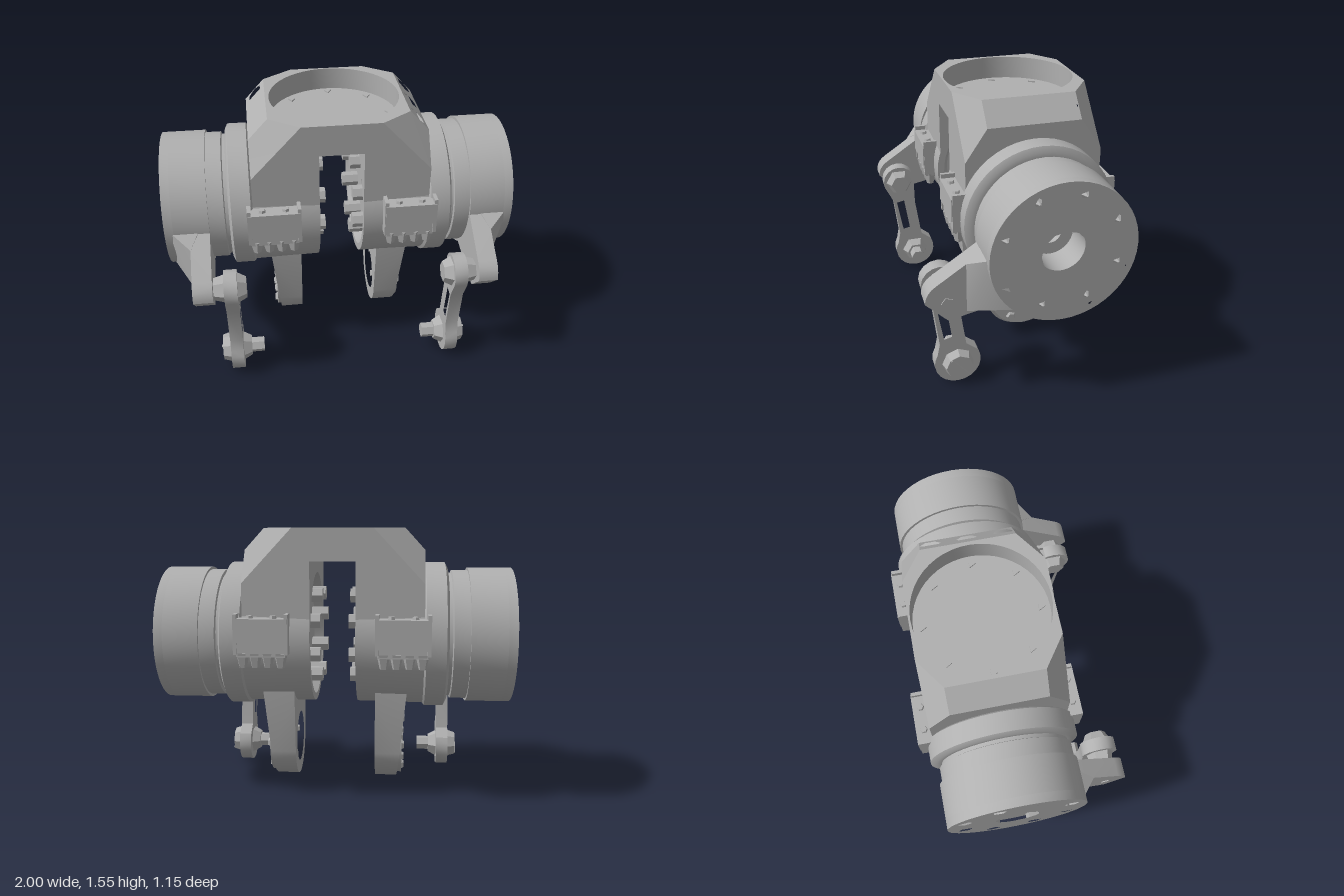
import * as THREE from 'three';
import { mergeGeometries, toCreasedNormals } from 'three/addons/utils/BufferGeometryUtils.js';
import { ConvexGeometry } from 'three/addons/geometries/ConvexGeometry.js';

const CY = 0.935, CZ = -0.11; // main drum axis
const TAU = Math.PI * 2, DEG = Math.PI / 180;

// Arc of [z, y] points around a centre
function arc(z, y, r, a0 = 0, a1 = 360, n = 24) {
  const full = Math.abs(a1 - a0) === 360, out = [];
  for (let i = 0; i < n + (full ? 0 : 1); i++) {
    const a = (a0 + (a1 - a0) * i / n) * DEG;
    out.push([z + r * Math.cos(a), y + r * Math.sin(a)]);
  }
  return out;
}

// Side profile of [z, y] points, extruded from x0 to x1
function slab(pts, holes, x0, x1) {
  const v = p => p.map(([z, y]) => new THREE.Vector2(-z, y));
  const s = new THREE.Shape(v(pts));
  s.holes = holes.map(h => new THREE.Path(v(h)));
  return new THREE.ExtrudeGeometry(s, { depth: x1 - x0, bevelEnabled: false })
    .rotateY(Math.PI / 2).translate(x0, 0, 0);
}

// Lathe of [radius, x] points around the main axis
function turned(pts, sides = 48) {
  return new THREE.LatheGeometry(pts.map(p => new THREE.Vector2(...p)), sides)
    .rotateZ(-Math.PI / 2).translate(0, CY, CZ);
}

// Prism or cone along x; r0 at x0, r1 at x1
function pin(x0, x1, z, y, r0, r1 = r0, sides = 6) {
  return new THREE.CylinderGeometry(r1, r0, x1 - x0, sides)
    .rotateZ(-Math.PI / 2).translate((x0 + x1) / 2, y, z);
}

const hull = pts => new ConvexGeometry(pts.map(p => new THREE.Vector3(...p)));
const box = (x, y, z, w, h, d) => new THREE.BoxGeometry(w, h, d).translate(x, y, z);

// Flat convex polygon facing the hinted direction
function face(pts, hint) {
  const v = pts.map(p => new THREE.Vector3(...p));
  const n = v[1].clone().sub(v[0]).cross(v[2].clone().sub(v[0]));
  if (n.dot(new THREE.Vector3(...hint)) < 0) v.reverse();
  const tri = [];
  for (let i = 1; i < v.length - 1; i++) tri.push(v[0], v[i], v[i + 1]);
  return new THREE.BufferGeometry().setFromPoints(tri);
}

// Merge pieces with creased normals
function merge(list) {
  return mergeGeometries(list.map(g => {
    const n = g.index ? g.toNonIndexed() : g.clone();
    n.deleteAttribute('uv');
    n.deleteAttribute('normal');
    n.clearGroups();
    n.computeVertexNormals();
    return toCreasedNormals(n, 0.5);
  }));
}

// Copy mirrored in x with the corner order restored
function mirrored(geo) {
  const g = geo.clone().scale(-1, 1, 1);
  for (const at of Object.values(g.attributes)) {
    const a = at.array;
    for (let i = 0; i < a.length; i += 9)
      for (let k = 0; k < 3; k++) [a[i + 3 + k], a[i + 6 + k]] = [a[i + 6 + k], a[i + 3 + k]];
  }
  return g;
}

export function createModel() {
  const model = new THREE.Group();
  const grey = new THREE.MeshStandardMaterial({ color: 0xb0b0b0 });
  grey.name = 'metal grey';
  const add = (name, geo) => {
    const m = new THREE.Mesh(geo, grey);
    m.name = name;
    model.add(m);
  };
  const pair = (name, list) => {
    const g = merge(list);
    add(name + 'Left', g);
    add(name + 'Right', mirrored(g));
  };

  // Central block: top with round recess, chamfered corners, slot below
  const Y0 = CY, YT = 1.55, YC = 1.43, YK = 1.25, YS = 1.37, YF = 1.42, Z = 0.38, ZK = 0.26;
  const top = new THREE.Shape([[0.22, Z], [0.39, ZK], [0.39, -ZK], [0.22, -Z], [-0.22, -Z], [-0.39, -ZK], [-0.39, ZK], [-0.22, Z]]
    .map(p => new THREE.Vector2(...p)));
  top.holes.push(new THREE.Path().absarc(0, 0, 0.37, 0, TAU, true));
  const wall = new THREE.CylinderGeometry(0.37, 0.37, YT - YF, 48, 1, true).translate(0, (YT + YF) / 2, CZ);
  const wi = wall.index.array;
  for (let i = 0; i < wi.length; i += 3) [wi[i], wi[i + 1]] = [wi[i + 1], wi[i]];
  const block = [
    new THREE.ShapeGeometry(top, 24).rotateX(-Math.PI / 2).translate(0, YT, CZ),
    wall,
    new THREE.CircleGeometry(0.37, 48).rotateX(-Math.PI / 2).translate(0, YF, CZ),
    face([[-0.125, YS, CZ - Z], [0.125, YS, CZ - Z], [0.125, YS, CZ + Z], [-0.125, YS, CZ + Z]], [0, -1, 0]),
  ];
  for (const s of [1, -1]) {
    const z = CZ + s * Z, zk = CZ + s * ZK;
    block.push(face([[-0.125, YS, z], [0.125, YS, z], [0.125, YT, z], [-0.125, YT, z]], [0, 0, s]));
    for (const m of [1, -1]) {
      block.push(face([[m * 0.125, YT, z], [m * 0.22, YT, z], [m * 0.5, YK, z], [m * 0.5, Y0, z], [m * 0.125, Y0, z]], [0, 0, s]));
      block.push(face([[m * 0.22, YT, z], [m * 0.39, YT, zk], [m * 0.5, YC, zk], [m * 0.5, YK, z]], [m, 1, s]));
    }
  }
  add('centralBlock', merge(block));

  // Block sides, slot walls and undersides
  pair('blockSide', [
    face([[0.5, YC, CZ + ZK], [0.5, YC, CZ - ZK], [0.5, YK, CZ - Z], [0.5, Y0, CZ - Z], [0.5, Y0, CZ + Z], [0.5, YK, CZ + Z]], [1, 0, 0]),
    slab([[CZ + Z, YS], [CZ - Z, YS], [CZ - Z, Y0], ...arc(CZ, CY, 0.36, 180, 0), [CZ + Z, Y0]], [], 0.125, 0.135),
  ]);

  // Sloping shoulder plates with three hex sockets each
  const len = Math.hypot(0.11, 0.12), tilt = Math.atan2(0.11, 0.12);
  const sockets = [-0.2, 0, 0.2].map(z => arc(z, 0, 0.056, 0, 360, 6));
  const shoulder = [
    slab([[-ZK, -len / 2], [ZK, -len / 2], [ZK, len / 2], [-ZK, len / 2]], sockets, -0.025, 0),
    face([[-0.024, -len / 2, -ZK], [-0.024, len / 2, -ZK], [-0.024, len / 2, ZK], [-0.024, -len / 2, ZK]], [1, 0, 0]),
  ].map(g => g.rotateZ(tilt).translate(0.445, 1.49, CZ));
  pair('shoulderPlate', shoulder);

  // Small markers on the recess floor
  const marks = [];
  for (let i = 0; i < 8; i++)
    marks.push(new THREE.CylinderGeometry(0.025, 0.025, 0.008, 3)
      .translate(0.32 * Math.sin(i * TAU / 8), YF + 0.004, CZ + 0.32 * Math.cos(i * TAU / 8)));
  add('recessMarkers', merge(marks));

  // Inner housing with dished inner face, collar and neck
  pair('housing', [turned([
    [0.06, 0.18], [0.33, 0.18], [0.36, 0.125], [0.4, 0.125], [0.405, 0.5], [0.42, 0.51], [0.42, 0.62], [0.39, 0.635],
    [0.36, 0.635], [0.36, 0.655], [0.375, 0.66], [0.375, 0.75], [0.06, 0.75], [0.06, 0.18]])]);
  pair('innerScrews', arc(CZ, CY, 0.25, 22, 382, 8).map(([z, y]) => pin(0.08, 0.19, z, y, 0.045)));

  // Outer drum with end plate and square screw pockets
  pair('drum', [turned([[0.06, 0.75], [0.39, 0.75], [0.39, 0.95], [0.125, 0.95], [0.125, 0.78], [0.06, 0.78], [0.06, 0.75]])]);
  const screws = arc(CZ, CY, 0.313, 19, 379, 8);
  pair('drumEndPlate', [slab(arc(CZ, CY, 0.39, 0, 360, 48),
    [arc(CZ, CY, 0.125, 0, 360, 12), ...screws.map(([z, y], i) => arc(z, y, 0.045, 30 + i * 45, 390 + i * 45, 4))], 0.95, 1)]);
  pair('drumScrews', screws.map(([z, y]) => pin(0.945, 0.995, z, y, 0.03, 0.004, 5)));

  // Steering lever on the drum, with a ramp up to the end face
  const lever = [...arc(0.46, 0.665, 0.115, 30, 270, 16), ...arc(0.46, 0.665, 0.115, 0, 30, 4),
    [0.27, 0.93], [0.12, 0.62]];
  pair('lever', [
    hull(lever.flatMap(([z, y]) => [[0.75, y, z], [0.86, y, z]])),
    hull([[0.99, 0.95, 0.25], [0.99, 0.64, 0.12], [0.86, 0.87, 0.36], [0.86, 0.59, 0.36], [0.8, 0.95, 0.25], [0.8, 0.64, 0.12]]),
    pin(0.855, 0.866, 0.46, 0.655, 0.035, 0.035, 5),
  ]);

  // Hanging link with a slot
  pair('link', [slab([
    ...arc(0.46, 0.665, 0.105, -20, 200, 10), [0.36, 0.5], [0.325, 0.25],
    ...arc(0.375, 0.132, 0.132, 150, 390, 14), [0.475, 0.27], [0.505, 0.52]],
  [[[0.485, 0.51], [0.435, 0.52], [0.405, 0.31], [0.45, 0.3]]], 0.615, 0.69)]);
  pair('linkBolts', [
    pin(0.69, 0.76, 0.46, 0.665, 0.08, 0.06), pin(0.565, 0.62, 0.46, 0.665, 0.06, 0.09),
    pin(0.69, 0.74, 0.375, 0.132, 0.09, 0.075, 8), pin(0.565, 0.62, 0.375, 0.132, 0.06, 0.09),
    pin(0.49, 0.57, 0.375, 0.132, 0.045),
    box(0.74, 0.132, 0.375, 0.012, 0.14, 0.014).translate(0, -0.132, -0.375).rotateX(0.7).translate(0, 0.132, 0.375),
  ]);

  // Lower lugs: thicker towards the housing
  const lug = slab([...arc(CZ, 0.3, 0.225, 190, 350, 20), [CZ + 0.255, 0.6], [CZ + 0.26, 0.72], [CZ - 0.26, 0.72], [CZ - 0.255, 0.6]],
    [arc(CZ, 0.3, 0.15)], 0.23, 0.355);
  const lp = lug.attributes.position;
  for (let i = 0; i < lp.count; i++)
    if (lp.getX(i) > 0.3) lp.setX(i, 0.355 + Math.max(0, lp.getY(i) - 0.08) * 0.1);
  pair('lug', [lug]);
  pair('lugBearing', [
    slab(arc(CZ, 0.3, 0.205), [arc(CZ, 0.3, 0.11)], 0.3, 0.385),
    pin(0.27, 0.37, CZ, 0.3, 0.08, 0.08, 8), pin(0.37, 0.395, CZ, 0.3, 0.055, 0.03, 5),
  ]);
  pair('lugScrews', arc(CZ, 0.3, 0.165, 0, 360, 6).flatMap(([z, y]) => [
    pin(0.375, 0.4, z, y, 0.036, 0.022, 5), pin(0.26, 0.31, z, y, 0.02, 0.032, 5)]));

  // Clamps on the front and back of the housing, with screws
  const clamps = [], clampScrews = [];
  for (const s of [1, -1]) {
    const z = CZ + s * 0.42;
    clamps.push(box(0.385, 1.0, z, 0.29, 0.13, 0.09), box(0.385, 0.9, z - s * 0.01, 0.27, 0.09, 0.08));
    for (const x of [0.245, 0.525]) clamps.push(box(x, 0.98, z - s * 0.005, 0.02, 0.22, 0.09));
    for (let i = 0; i < 4; i++)
      clampScrews.push(new THREE.CylinderGeometry(0.04, 0.022, 0.08, 5).translate(0.28 + i * 0.07, 0.835, z));
    for (const x of [0.32, 0.45])
      clampScrews.push(new THREE.CylinderGeometry(0.018, 0.022, 0.016, 6).translate(x, 1.072, z));
  }
  pair('clamp', clamps);
  pair('clampScrews', clampScrews);

  return model;
}
